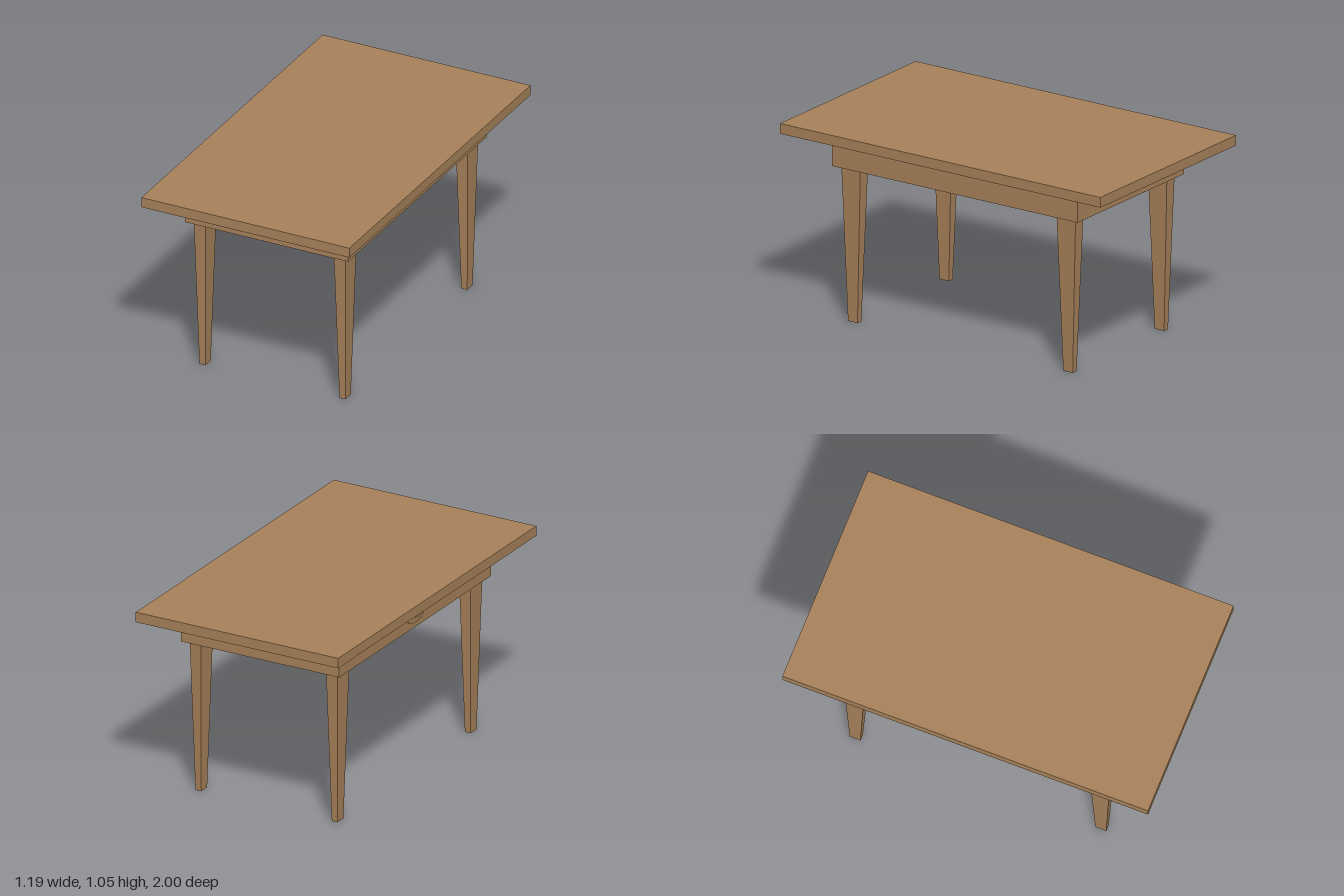
import * as THREE from 'three';

export function createModel() {
  const table = new THREE.Group();
  table.name = 'table';
  const wood = new THREE.MeshStandardMaterial({ color: 0xa8825a });
  wood.name = 'wood';

  const add = (name, geometry, x, y, z) => {
    const mesh = new THREE.Mesh(geometry, wood);
    mesh.name = name;
    mesh.position.set(x, y, z);
    table.add(mesh);
    return mesh;
  };

  // Top board and the solid apron beneath it
  add('tableTop', new THREE.BoxGeometry(1.194, 0.055, 2), 0, 1.0265, 0);
  add('apron', new THREE.BoxGeometry(0.934, 0.164, 1.534), 0, 0.917, 0);

  // Four legs, narrowing to half width at the floor
  const legHeight = 0.836;
  const legGeometry = new THREE.BoxGeometry(0.068, legHeight, 0.118);
  const p = legGeometry.attributes.position;
  for (let i = 0; i < p.count; i++) {
    if (p.getY(i) < 0) p.setXYZ(i, p.getX(i) * 0.5, p.getY(i), p.getZ(i) * 0.5);
  }
  const leg = legGeometry.toNonIndexed();
  leg.computeVertexNormals();
  for (const [side, x] of [['Left', 0.402], ['Right', -0.402]]) {
    for (const [end, z] of [['front', 0.672], ['back', -0.672]]) {
      add(`${end}${side}Leg`, leg, x, legHeight / 2, z);
    }
  }

  // Drawer pull on the right side: thin oval plate, neck and knob
  const disc = (name, radius, thickness, x) => {
    const geometry = new THREE.CylinderGeometry(radius, radius, thickness, 16);
    geometry.rotateZ(Math.PI / 2);
    geometry.scale(1, 1, 1.68);
    add(name, geometry, x, 0.918, 0);
  };
  disc('pullPlate', 0.056, 0.005, -0.4695);
  disc('pullNeck', 0.015, 0.006, -0.4745);
  disc('pullKnob', 0.024, 0.008, -0.479);

  return table;
}
